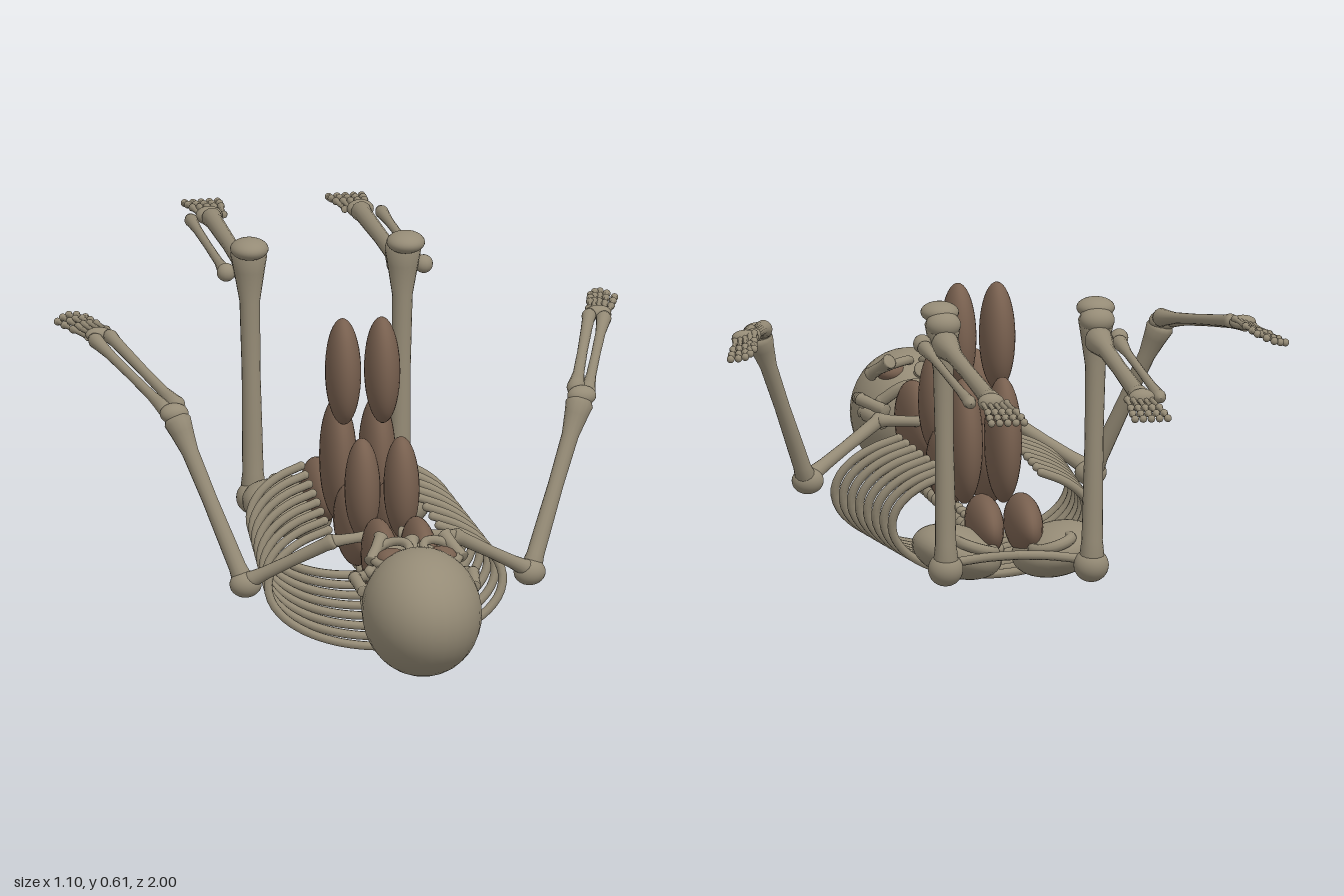
import * as THREE from 'three';

const bone = new THREE.MeshStandardMaterial({ color: 0x958b76 });
bone.name = 'bone';
const organ = new THREE.MeshStandardMaterial({ color: 0x78604f });
organ.name = 'brown organ';

const V = (x, y, z) => new THREE.Vector3(x, y, z);
const UP = V(0, 1, 0);
const sphere = new THREE.SphereGeometry(1, 28, 20);
const smallSphere = new THREE.SphereGeometry(1, 14, 10);

function add(parent, name, geometry, material, position) {
  const mesh = new THREE.Mesh(geometry, material);
  mesh.name = name;
  if (position) mesh.position.copy(position);
  parent.add(mesh);
  return mesh;
}

function ellipsoid(parent, name, p, rx, ry = rx, rz = rx, material = bone) {
  const mesh = add(parent, name, rx < 0.025 && rz < 0.03 ? smallSphere : sphere, material, p);
  mesh.scale.set(rx, ry, rz);
  return mesh;
}

// Long bone from a to b: slim shaft with flared, rounded ends
function longBone(parent, name, a, b, endA, mid, endB, sides = 14) {
  const length = a.distanceTo(b);
  const profile = [[0, 0], [endA * 0.8, 0.01], [endA, 0.04], [endA * 0.85, 0.1],
    [mid * 1.1, 0.22], [mid, 0.5], [mid * 1.1, 0.78], [endB * 0.85, 0.9],
    [endB, 0.96], [endB * 0.8, 0.99], [0, 1]]
    .map(([r, t]) => new THREE.Vector2(r, t * length));
  const mesh = add(parent, name, new THREE.LatheGeometry(profile, sides), bone, a);
  mesh.quaternion.setFromUnitVectors(UP, b.clone().sub(a).normalize());
  return mesh;
}

function tube(parent, name, points, r, segments = 16) {
  const curve = new THREE.CatmullRomCurve3(points);
  add(parent, name, new THREE.TubeGeometry(curve, segments, r, 8), bone);
  ellipsoid(parent, name + 'End', points[0], r);
  ellipsoid(parent, name + 'End', points[points.length - 1], r);
}

// Finger or toe: a chain of small bones with knuckles
function digit(parent, name, points, r) {
  for (let i = 0; i < points.length - 1; i++) {
    longBone(parent, name, points[i], points[i + 1], r * 1.3, r * 0.75, r * 1.2, 8);
    ellipsoid(parent, name + 'Knuckle', points[i + 1], r * 1.25);
  }
}

function group(parent, name) {
  const g = new THREE.Group();
  g.name = name;
  parent.add(g);
  return g;
}

function buildSkull(root) {
  const skull = group(root, 'skull');
  ellipsoid(skull, 'cranium', V(0, 0.205, 0.852), 0.115, 0.123, 0.147);
  longBone(skull, 'nose', V(0, 0.29, 0.77), V(0, 0.31, 0.72), 0.013, 0.01, 0.016);
  tube(skull, 'upperJaw', [V(-0.08, 0.25, 0.72), V(-0.04, 0.28, 0.7), V(0, 0.285, 0.695),
    V(0.04, 0.28, 0.7), V(0.08, 0.25, 0.72)], 0.012);
  for (const s of [1, -1]) {
    const rim = add(skull, 'eyeRim', new THREE.TorusGeometry(0.036, 0.009, 10, 24), bone,
      V(s * 0.048, 0.305, 0.785));
    rim.rotation.set(-1.25, s * 0.3, 0);
    ellipsoid(skull, 'eye', V(s * 0.048, 0.295, 0.79), 0.03, 0.02, 0.03, organ);
    longBone(skull, 'cheekbone', V(s * 0.09, 0.29, 0.79), V(s * 0.06, 0.325, 0.735), 0.014, 0.011, 0.015);
    longBone(skull, 'cheekArch', V(s * 0.108, 0.24, 0.82), V(s * 0.115, 0.25, 0.75), 0.012, 0.011, 0.013);
    longBone(skull, 'jawBranch', V(s * 0.117, 0.25, 0.755), V(s * 0.075, 0.235, 0.69), 0.013, 0.011, 0.013);
    longBone(skull, 'lowerJaw', V(s * 0.1, 0.215, 0.81), V(s * 0.08, 0.21, 0.7), 0.013, 0.013, 0.013);
  }
}

function buildTorso(root) {
  // Spine
  const spine = group(root, 'spine');
  for (let i = 0; i < 17; i++) {
    const z = 0.65 - i * 0.0445;
    ellipsoid(spine, 'vertebra', V(0, 0.09, z), 0.02, 0.016, 0.015);
    ellipsoid(spine, 'vertebraSpur', V(0, 0.106, z - 0.003), 0.011, 0.009, 0.012);
  }

  // Ribs, each a slanted hoop open at the top
  const ribs = group(root, 'ribs');
  for (let i = 0; i < 8; i++) {
    const t = i / 7;
    const z0 = 0.435 - i * 0.0625;
    const rx = 0.228 - 0.033 * t, ry = 0.117 - 0.008 * t, cy = 0.133 + 0.008 * t;
    const points = [];
    for (let k = -10; k <= 10; k++) {
      const a = (k / 10) * 2.65;
      const rise = (1 - Math.cos(a)) / 2;
      points.push(V(rx * Math.sin(a), cy - ry * Math.cos(a), z0 - 0.06 * Math.sqrt(rise) * rise ** 0.3));
    }
    tube(ribs, 'rib', points, 0.0085, 60);
  }

  // Paired organs: y, z, then half sizes in x, y, z
  const organs = group(root, 'organs');
  const pairs = [
    ['neckMuscle', 0.23, 0.587, 0.034, 0.08, 0.128],
    ['upperChestOrgan', 0.31, 0.358, 0.034, 0.1, 0.056],
    ['chestOrgan', 0.205, 0.243, 0.034, 0.075, 0.124],
    ['bellyOrgan', 0.283, 0.055, 0.035, 0.122, 0.075],
    ['raisedOrgan', 0.475, 0.118, 0.034, 0.105, 0.062],
    ['pelvicOrgan', 0.157, -0.166, 0.034, 0.058, 0.108],
  ];
  for (const [name, y, z, rx, ry, rz] of pairs)
    for (const s of [1, -1]) ellipsoid(organs, name, V(s * 0.038, y, z), rx, ry, rz, organ);
}

function buildPelvis(root) {
  const pelvis = group(root, 'pelvis');
  for (const s of [1, -1]) {
    const blade = ellipsoid(pelvis, 'hipBlade', V(s * 0.097, 0.112, -0.198), 0.088, 0.05, 0.11);
    blade.rotation.z = s * 0.25;
    const loop = add(pelvis, 'pelvicLoop', new THREE.TorusGeometry(0.038, 0.011, 10, 24), bone,
      V(s * 0.075, 0.135, -0.272));
    loop.rotation.set(Math.PI / 2, s * 0.3, 0);
    tube(pelvis, 'pubicBone', [V(s * 0.13, 0.11, -0.315), V(s * 0.06, 0.12, -0.322),
      V(0, 0.125, -0.335)], 0.009);
  }
}

function buildLeg(root, s) {
  const leg = group(root, s > 0 ? 'leftLeg' : 'rightLeg');
  const P = (x, y, z) => V(s * x, y, z);
  // Thigh
  ellipsoid(leg, 'hipJoint', P(0.142, 0.1, -0.325), 0.034, 0.033, 0.033);
  longBone(leg, 'thighBone', P(0.142, 0.1, -0.33), P(0.15, 0.6, -0.337), 0.024, 0.018, 0.035, 18);
  ellipsoid(leg, 'kneecap', P(0.152, 0.6, -0.317), 0.037, 0.021, 0.04);
  ellipsoid(leg, 'kneeJoint', P(0.15, 0.58, -0.345), 0.034, 0.026, 0.03);
  // Shin
  longBone(leg, 'shinBone', P(0.15, 0.545, -0.345), P(0.145, 0.513, -0.845), 0.028, 0.015, 0.02);
  longBone(leg, 'calfBone', P(0.19, 0.54, -0.35), P(0.185, 0.51, -0.845), 0.015, 0.008, 0.013);
  ellipsoid(leg, 'calfBoneHead', P(0.192, 0.545, -0.35), 0.018);
  ellipsoid(leg, 'ankle', P(0.147, 0.513, -0.848), 0.026, 0.018, 0.02);
  // Foot
  for (let i = 0; i < 5; i++) {
    const u = i / 4;
    digit(leg, 'toe', [P(0.118 + 0.045 * u, 0.512, -0.85), P(0.112 + 0.055 * u, 0.507, -0.925),
      P(0.109 + 0.061 * u, 0.502, -0.962), P(0.108 + 0.064 * u, 0.497, -0.992)], 0.006);
  }
}

function buildArm(root, s) {
  const arm = group(root, s > 0 ? 'leftArm' : 'rightArm');
  const P = (x, y, z) => V(s * x, y, z);
  // Shoulder girdle
  longBone(arm, 'collarbone', P(0.015, 0.25, 0.465), P(0.125, 0.25, 0.505), 0.014, 0.01, 0.015);
  longBone(arm, 'shoulderBar', P(0.115, 0.255, 0.51), P(0.275, 0.155, 0.43), 0.016, 0.012, 0.018);
  ellipsoid(arm, 'shoulderJoint', P(0.276, 0.15, 0.428), 0.031, 0.026, 0.026);
  // Upper arm
  longBone(arm, 'upperArm', P(0.278, 0.15, 0.425), P(0.395, 0.46, 0.31), 0.02, 0.015, 0.027);
  ellipsoid(arm, 'elbow', P(0.396, 0.462, 0.308), 0.028, 0.02, 0.022);
  // Forearm pair
  longBone(arm, 'innerForearm', P(0.385, 0.47, 0.3), P(0.468, 0.52, -0.055), 0.018, 0.01, 0.014);
  longBone(arm, 'outerForearm', P(0.408, 0.465, 0.3), P(0.497, 0.513, -0.055), 0.015, 0.009, 0.015);
  ellipsoid(arm, 'wrist', P(0.485, 0.518, -0.06), 0.026, 0.014, 0.016);
  // Hand
  for (let i = 0; i < 5; i++) {
    const u = i / 4;
    const reach = [0.125, 0.155, 0.17, 0.165, 0.15][i];
    const at = (t) => P(0.468 + 0.036 * u + t * (0.023 + 0.014 * u),
      0.526 - 0.014 * u - 0.01 * t, -0.062 - t * reach);
    digit(arm, 'finger', [at(0), at(0.5), at(0.78), at(1)], 0.006);
  }
}

export function createModel() {
  const root = new THREE.Group();
  root.name = 'skeleton';
  buildSkull(root);
  buildTorso(root);
  buildPelvis(root);
  for (const s of [1, -1]) {
    buildLeg(root, s);
    buildArm(root, s);
  }
  return root;
}
